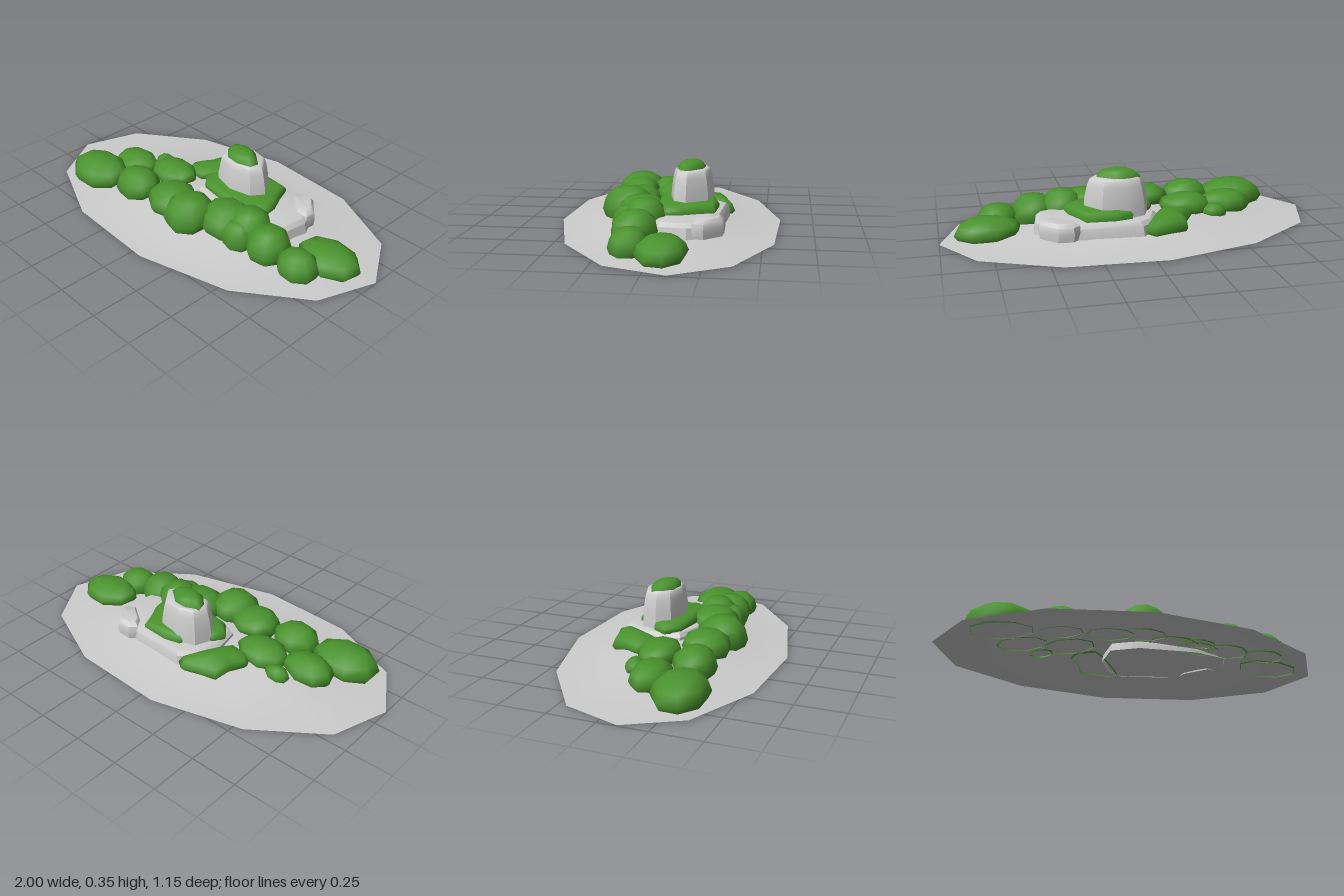
import * as THREE from 'three';
import { toCreasedNormals } from 'three/addons/utils/BufferGeometryUtils.js';

const grey = new THREE.MeshStandardMaterial({ color: 0xcccccc, side: THREE.DoubleSide });
const green = new THREE.MeshStandardMaterial({ color: 0x4a932e, side: THREE.DoubleSide });

// Height of the low mound at any point, falling from the centre to the rim
const moundHeight = (s) => 0.075 * (0.5 + 0.5 * Math.cos(Math.PI * Math.min(1, s)));
const groundAt = (x, z) => moundHeight(Math.hypot(x, (z + 0.11 * x) / 0.575));

// Stacks scaled copies of an [x, z] outline. Each ring is [scale, t];
// heightAt(x, z, t, scale) gives y. The last ring closes on a centre point.
function loft(outline, rings, heightAt, crease) {
  let area = 0, cx = 0, cz = 0;
  const n = outline.length;
  outline.forEach(([x, z], i) => {
    const [x2, z2] = outline[(i + 1) % n];
    const cross = x * z2 - x2 * z;
    area += cross / 2;
    cx += (x + x2) * cross;
    cz += (z + z2) * cross;
  });
  cx /= 6 * area;
  cz /= 6 * area;
  const loop = area > 0 ? [...outline].reverse() : outline;
  const pos = [], index = [];
  rings.forEach(([scale, t]) => loop.forEach(([px, pz]) => {
    const x = cx + (px - cx) * scale, z = cz + (pz - cz) * scale;
    pos.push(x, heightAt(x, z, t, scale), z);
  }));
  const tip = pos.length / 3;
  pos.push(cx, heightAt(cx, cz, 1, 0), cz);
  for (let r = 0; r < rings.length; r++) {
    for (let i = 0; i < n; i++) {
      const a = r * n + i, b = r * n + (i + 1) % n;
      if (r === rings.length - 1) index.push(a, b, tip);
      else index.push(a, b, b + n, a, b + n, a + n);
    }
  }
  const geo = new THREE.BufferGeometry();
  geo.setAttribute('position', new THREE.Float32BufferAttribute(pos, 3));
  geo.setIndex(index);
  geo.computeVertexNormals();
  return crease ? toCreasedNormals(geo, crease) : geo;
}

const BUSH = [[0.86, 0], [1, 0.3], [0.88, 0.65], [0.55, 0.92]];
const ROCK = [[1.03, 0], [1, 0.7], [0.93, 0.95], [0.85, 1]];

export function createModel() {
  const group = new THREE.Group();
  const add = (name, geo, material) => {
    const mesh = new THREE.Mesh(geo, material);
    mesh.name = name;
    group.add(mesh);
  };
  const between = (low, high) => (x, z, t) => low + (high - low) * t;
  const onGround = (top) => (x, z, t) => (groundAt(x, z) - 0.006) * (1 - t) + top * t;

  // Twelve-sided mound
  const rim = [[1, -0.11], [0.89, 0.19], [0.55, 0.44], [0.06, 0.57], [-0.45, 0.545], [-0.84, 0.37],
    [-1, 0.1], [-0.9, -0.2], [-0.55, -0.45], [-0.07, -0.58], [0.44, -0.555], [0.83, -0.38]];
  add('mound', loft(rim, [[1, 0], [0.8, 0], [0.6, 0], [0.4, 0], [0.2, 0]],
    (x, z, t, s) => moundHeight(s)), grey);

  // Stone platform with a loose boulder at its corner
  const platform = [[0, -0.31], [0.3, -0.29], [0.46, -0.25], [0.52, -0.14], [0.5, 0], [0.35, 0.06],
    [0.05, 0.08], [-0.09, 0.03], [-0.12, -0.12], [-0.07, -0.25]];
  add('platform', loft(platform, ROCK, between(0.03, 0.108), 0.5), grey);
  const boulder = [[0.31, -0.28], [0.35, -0.315], [0.43, -0.31], [0.515, -0.22], [0.51, -0.165],
    [0.45, -0.15], [0.33, -0.235]];
  add('boulder', loft(boulder, [[0.95, 0], [1.02, 0.45], [0.95, 0.8], [0.7, 1]],
    between(0.03, 0.122), 0.7), grey);

  // Rock tower, moss around its foot and on its top
  const tower = [[-0.065, -0.12], [-0.03, -0.205], [0.06, -0.238], [0.19, -0.215], [0.265, -0.11],
    [0.22, -0.045], [0.1, -0.018], [-0.02, -0.05]];
  add('tower', loft(tower, [[1.02, 0], [0.99, 0.45], [0.9, 0.8], [0.82, 0.96], [0.74, 1]],
    between(0.1, 0.303), 0.7), grey);
  const footMoss = [[0.04, -0.25], [0.13, -0.27], [0.28, -0.26], [0.31, -0.18], [0.35, -0.1],
    [0.36, -0.02], [0.27, 0.05], [0.1, 0.045], [-0.05, 0.02], [-0.11, -0.05], [-0.08, -0.12], [0.01, -0.16]];
  add('footMoss', loft(footMoss, [[0.98, 0], [1, 0.45], [0.92, 0.85], [0.8, 1]],
    between(0.1, 0.153), 0.9), green);
  const topMoss = [[-0.02, -0.16], [0.05, -0.19], [0.12, -0.185], [0.2, -0.12], [0.19, -0.075],
    [0.12, -0.05], [0.04, -0.06], [-0.01, -0.11]];
  add('topMoss', loft(topMoss, [[1, 0], [1, 0.35], [0.75, 0.8], [0.45, 0.98]],
    between(0.29, 0.343)), green);

  // Long shrub behind the tower
  const shrub = [[-0.05, -0.34], [-0.01, -0.31], [-0.04, -0.25], [-0.08, -0.18], [-0.13, -0.1],
    [-0.17, -0.05], [-0.28, -0.06], [-0.31, -0.12], [-0.26, -0.2], [-0.24, -0.29], [-0.15, -0.31]];
  add('longShrub', loft(shrub, BUSH, onGround(0.12)), green);

  // Rounded bushes: x, z, half width, half depth, top
  const bushes = [
    [-0.655, 0.26, 0.18, 0.132, 0.137], [-0.37, 0.22, 0.13, 0.108, 0.16],
    [-0.555, 0.07, 0.14, 0.1, 0.13], [-0.31, 0.01, 0.145, 0.105, 0.145],
    [-0.455, -0.06, 0.067, 0.047, 0.095], [-0.12, 0.19, 0.135, 0.125, 0.16],
    [0.045, 0.22, 0.13, 0.13, 0.19], [0.22, 0.12, 0.14, 0.13, 0.18],
    [0.35, 0.085, 0.115, 0.11, 0.195], [0.345, 0.165, 0.09, 0.08, 0.155],
    [0.5, 0.11, 0.115, 0.115, 0.168], [0.69, 0.105, 0.11, 0.095, 0.127],
    [0.755, -0.055, 0.17, 0.12, 0.108],
  ];
  bushes.forEach(([x, z, rx, rz, top], i) => {
    const outline = [];
    for (let k = 0; k < 8; k++) {
      const a = (k + 0.5 + 0.3 * Math.sin(i * 2.3)) * Math.PI / 4;
      outline.push([x + 1.04 * rx * Math.cos(a), z + 1.04 * rz * Math.sin(a)]);
    }
    add('bush' + (i + 1), loft(outline, BUSH, onGround(top)), green);
  });
  return group;
}
